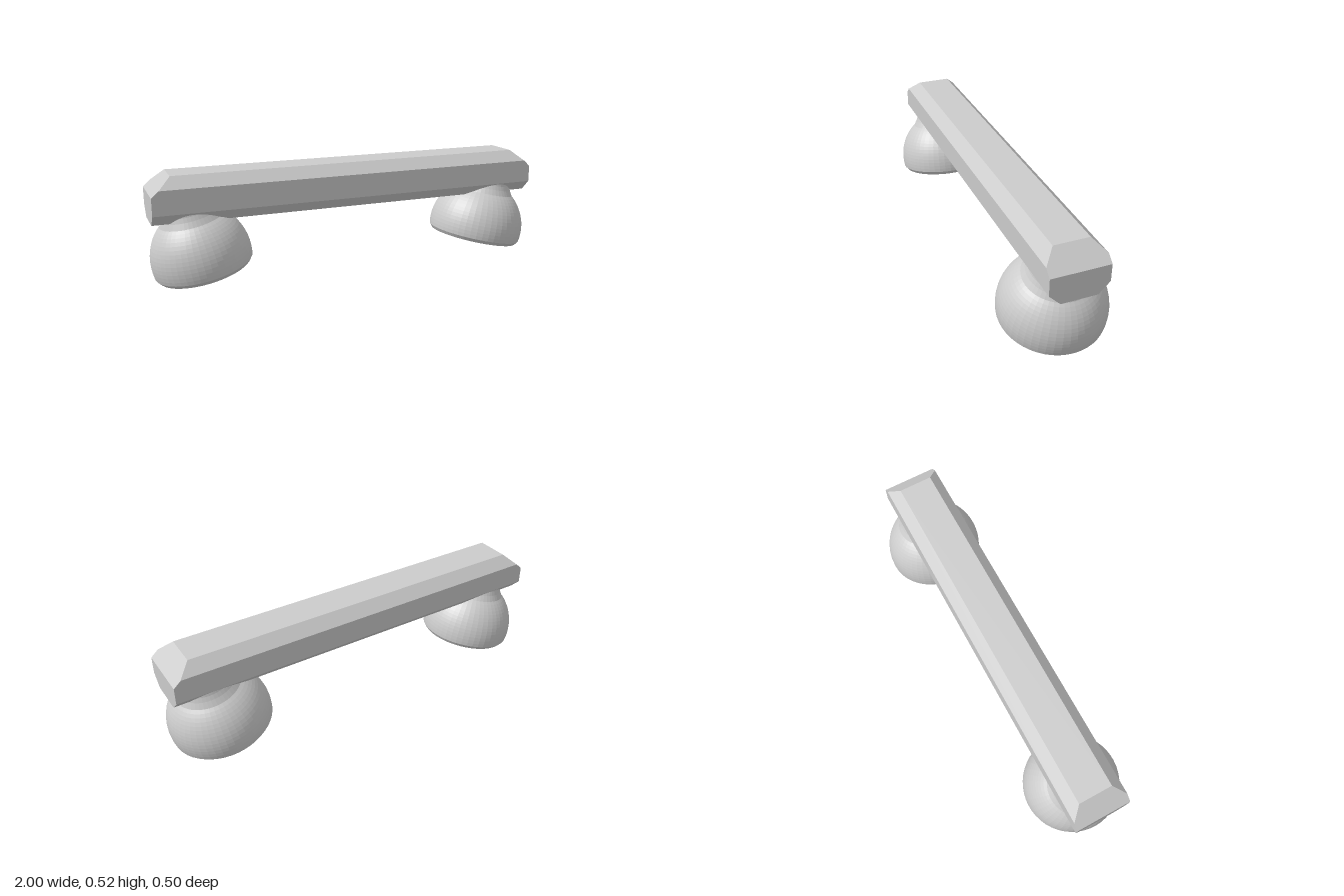
import * as THREE from 'three';
import { ConvexGeometry } from 'three/addons/geometries/ConvexGeometry.js';

const material = new THREE.MeshStandardMaterial({ color: 0xcccccc, flatShading: true });

// Chamfered beam: an octagonal section whose two ends are bevelled along the top
function makeBeam() {
  const section = [
    [0.084, 0.305], [0.137, 0.358], [0.137, 0.441], [0.137, 0.472], [0.084, 0.525],
  ];
  const points = [];
  for (const [z, y] of section) {
    const inset = Math.max(0, y - 0.441) * (0.094 / 0.084);
    for (const side of [-1, 1]) {
      points.push(new THREE.Vector3(-0.995 + inset, y, side * z));
      points.push(new THREE.Vector3(0.985 - inset, y, side * z));
    }
  }
  const beam = new THREE.Mesh(new ConvexGeometry(points), material);
  beam.name = 'beam';
  return beam;
}

// Domed foot: flat base, small bevel, round body and a short neck into the beam
function makeFoot(name, x, y, radius, tilt) {
  const k = radius / 0.249;
  const profile = [new THREE.Vector2(0, 0), new THREE.Vector2(0.231 * k, 0)];
  const centre = 0.06;
  const start = -0.17, end = 0.88, rings = 14;
  for (let i = 0; i <= rings; i++) {
    const a = start + (end - start) * i / rings;
    profile.push(new THREE.Vector2(radius * Math.cos(a), (centre + 0.249 * Math.sin(a)) * 1));
  }
  for (const [r, h] of [[0.143, 0.279], [0.134, 0.3], [0.128, 0.325], [0.125, 0.35], [0, 0.36]]) {
    profile.push(new THREE.Vector2(r * k, h));
  }
  const foot = new THREE.Mesh(new THREE.LatheGeometry(profile, 48), material);
  foot.name = name;
  foot.position.set(x, y, 0);
  foot.rotation.z = tilt;
  return foot;
}

export function createModel() {
  const model = new THREE.Group();
  model.name = 'beamOnDomedFeet';
  const tilt = THREE.MathUtils.degToRad(12);
  model.add(
    makeBeam(),
    makeFoot('leftFoot', 0.737, 0.049, 0.249, -tilt),
    makeFoot('rightFoot', -0.749, 0.051, 0.239, tilt),
  );
  return model;
}
